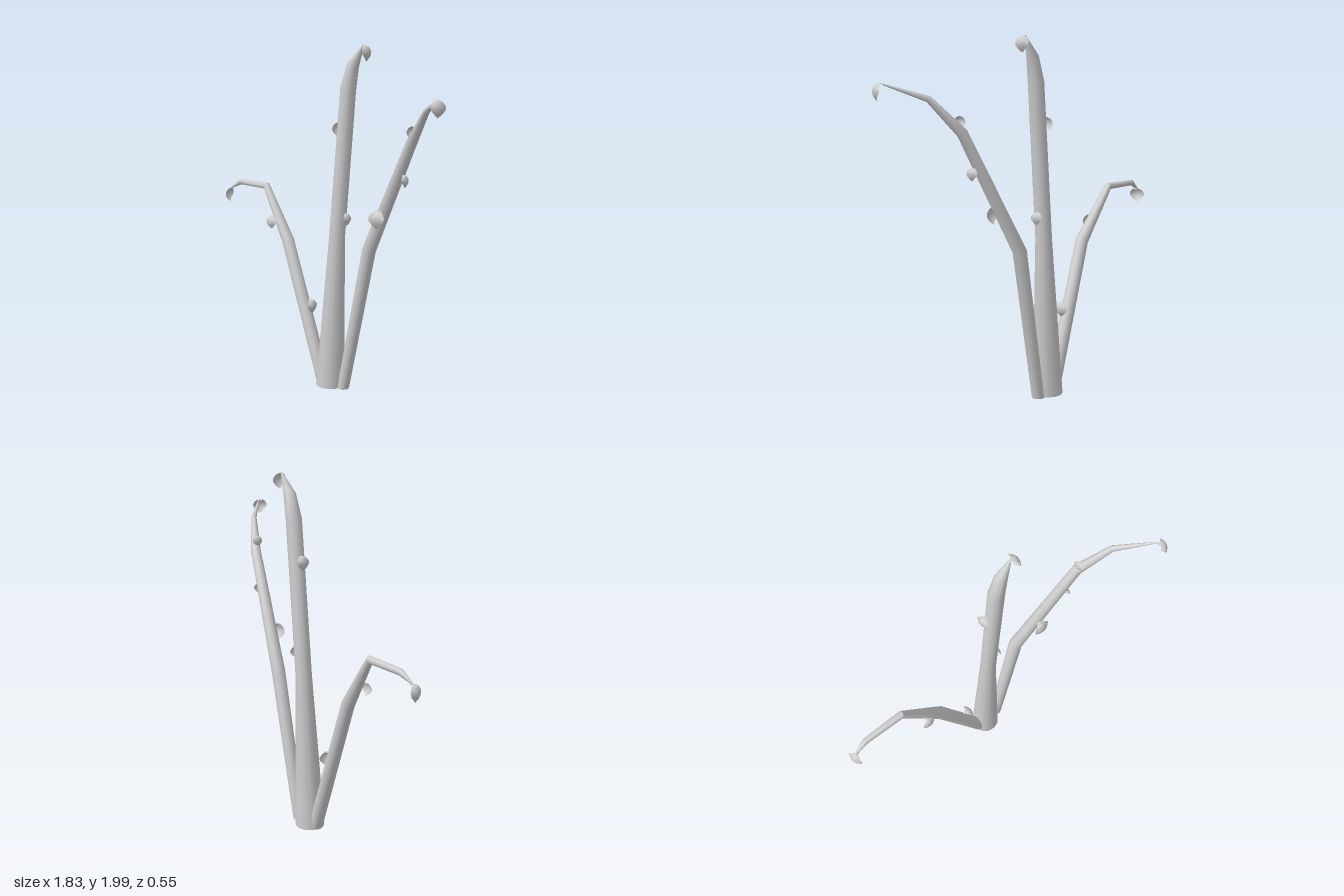
import * as THREE from 'three';
import { toCreasedNormals } from 'three/addons/utils/BufferGeometryUtils.js';

const SIDES = 12;
const V = (x, y, z) => new THREE.Vector3(x, y, z);
const stemMaterial = new THREE.MeshStandardMaterial({ color: 0xcccccc });
const leafMaterial = new THREE.MeshStandardMaterial({ color: 0xcccccc, side: THREE.DoubleSide });

function buildMesh(name, positions, index, material, crease) {
  const geometry = new THREE.BufferGeometry();
  geometry.setAttribute('position', new THREE.Float32BufferAttribute(positions, 3));
  geometry.setIndex(index);
  const mesh = new THREE.Mesh(toCreasedNormals(geometry, crease), material);
  mesh.name = name;
  return mesh;
}

// Round stem swept through [x, y, z, radius] joints with mitred rings and a flat base
function stem(name, joints) {
  const points = joints.map(j => V(j[0], j[1], j[2]));
  const positions = [], index = [];
  points.forEach((p, i) => {
    const t = V(0, 0, 0);
    if (i > 0) t.add(p.clone().sub(points[i - 1]).normalize());
    if (i < points.length - 1) t.add(points[i + 1].clone().sub(p).normalize());
    if (i === 0) t.set(0, 1, 0);
    t.normalize();
    const u = t.clone().cross(V(0, 0, 1)).normalize();
    const v = u.clone().cross(t);
    for (let j = 0; j < SIDES; j++) {
      const a = j / SIDES * Math.PI * 2;
      const q = p.clone().addScaledVector(u, Math.cos(a) * joints[i][3])
        .addScaledVector(v, Math.sin(a) * joints[i][3]);
      positions.push(q.x, q.y, q.z);
    }
  });
  for (let i = 0; i < points.length - 1; i++) {
    for (let j = 0; j < SIDES; j++) {
      const k = (j + 1) % SIDES, a = i * SIDES, b = a + SIDES;
      index.push(a + j, b + j, a + k, a + k, b + j, b + k);
    }
  }
  for (let j = 1; j < SIDES - 1; j++) index.push(0, j, j + 1);
  return buildMesh(name, positions, index, stemMaterial, 0.6);
}

// Cupped leaf that arches over and hangs down; rows are [outward, height, half width]
const LEAF_ROWS = [
  [-0.1, -0.04, 0.05], [0.18, 0.03, 0.13], [0.4, -0.06, 0.36],
  [0.53, -0.28, 0.52], [0.54, -0.5, 0.46], [0.46, -0.75, 0.25], [0.3, -0.98, 0.01],
];
function leaf(name, [x, y, z], heading, size) {
  const positions = [], index = [], n = 5;
  LEAF_ROWS.forEach(([out, up, half], i) => {
    for (let j = 0; j < n; j++) {
      const s = j / (n - 1) * 2 - 1;
      positions.push(out - 0.4 * half * s * s, up - 0.15 * half * s * s, half * s);
      if (i < LEAF_ROWS.length - 1 && j < n - 1) {
        const a = i * n + j;
        index.push(a, a + 1, a + n, a + 1, a + n + 1, a + n);
      }
    }
  });
  const mesh = buildMesh(name, positions, index, leafMaterial, 0.7);
  mesh.position.set(x, y, z);
  mesh.rotation.y = heading;
  mesh.scale.setScalar(size);
  return mesh;
}

export function createModel() {
  const group = new THREE.Group();
  group.name = 'plant';

  // Three stems
  group.add(
    stem('mainStem', [
      [-0.03, 0, -0.16, 0.085], [0.016, 0.9, -0.16, 0.046], [0.09, 1.75, -0.158, 0.044],
      [0.122, 1.88, -0.158, 0.034], [0.19, 1.99, -0.158, 0.004],
    ]),
    stem('leftStem', [
      [0.066, 0, -0.16, 0.035], [0.24, 0.86, -0.16, 0.039], [0.575, 1.5, -0.05, 0.029],
      [0.715, 1.67, 0.045, 0.017], [0.87, 1.743, 0.205, 0.004],
    ]),
    stem('rightStem', [
      [-0.078, 0, -0.16, 0.042], [-0.36, 0.83, -0.172, 0.037], [-0.57, 1.135, -0.222, 0.022],
      [-0.805, 1.135, -0.247, 0.018], [-0.89, 1.09, -0.243, 0.004],
    ]),
  );

  // Leaves: attachment, heading around y (0 = +x, -PI/2 = +z), size
  const H = Math.PI / 2;
  const leaves = [
    ['mainTipLeaf', [0.185, 1.985, -0.155], 0, 0.085],
    ['leftTipLeaf', [0.865, 1.745, 0.215], -0.45, 0.085],
    ['rightTipLeaf', [-0.87, 1.09, -0.243], Math.PI + 0.2, 0.09],
    ['mainUpperLeaf', [0.03, 1.563, -0.168], Math.PI, 0.08],
    ['mainLowerLeaf', [0.065, 1.05, -0.16], 0, 0.07],
    ['leftLowerLeaf', [0.35, 1.11, -0.098], -H, 0.1],
    ['leftMiddleLeaf', [0.505, 1.322, -0.07], 0, 0.068],
    ['leftUpperLeaf', [0.595, 1.585, -0.037], Math.PI, 0.066],
    ['rightUpperLeaf', [-0.463, 0.97, -0.163], -H, 0.076],
    ['rightLowerLeaf', [-0.192, 0.497, -0.158], 0, 0.085],
  ];
  for (const [name, at, heading, size] of leaves) group.add(leaf(name, at, heading, size));
  return group;
}
